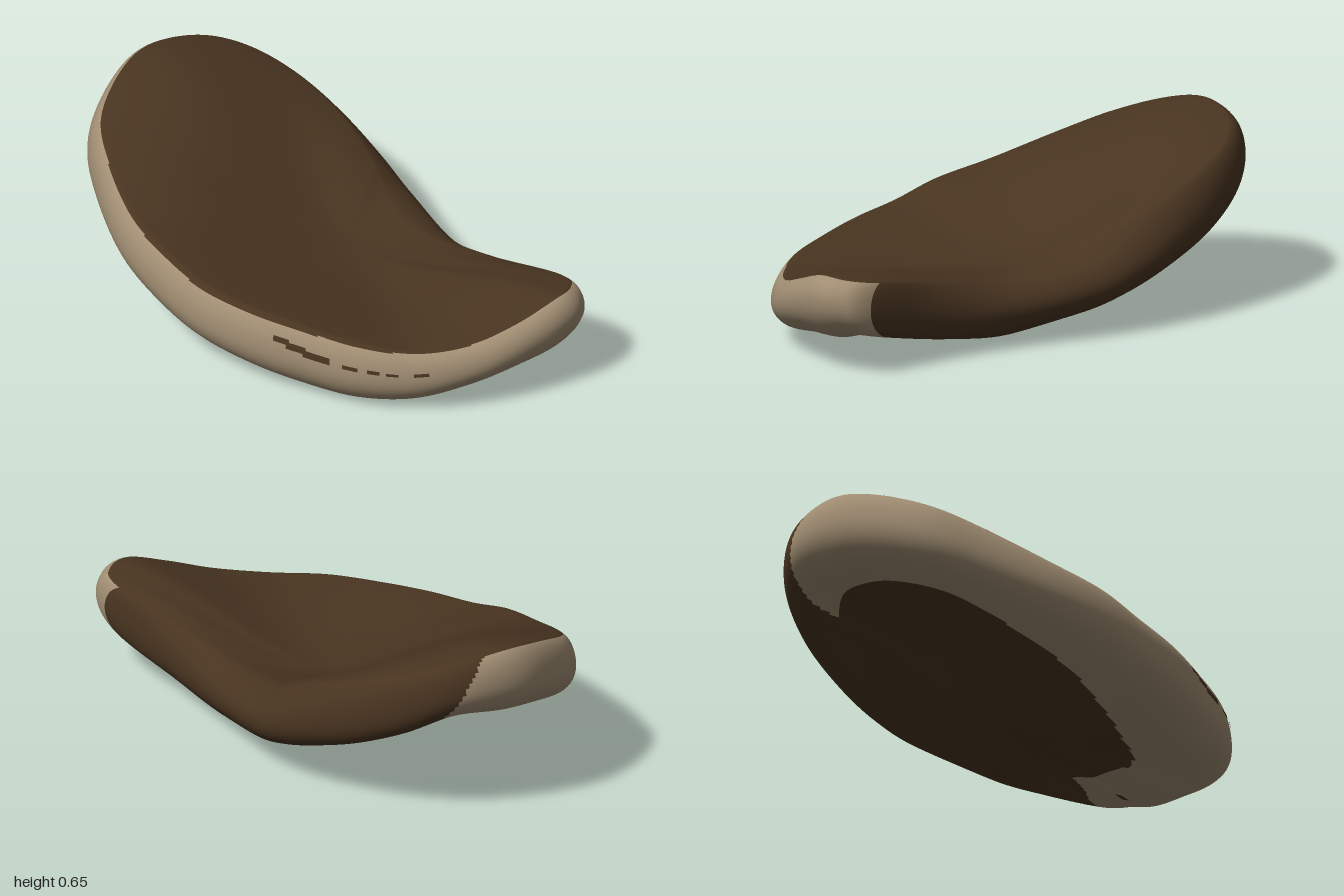
import * as THREE from 'three';

// Rim control points, counter-clockwise from above: x, z, crest height, underside height
const RIM = [
  [-0.94, -0.33, 0.63, 0.4], [-1, -0.13, 0.65, 0.385], [-0.98, 0.05, 0.62, 0.355], [-0.89, 0.25, 0.55, 0.295],
  [-0.73, 0.38, 0.48, 0.23], [-0.5, 0.5, 0.4, 0.155], [-0.27, 0.56, 0.355, 0.1], [-0.07, 0.57, 0.31, 0.055],
  [0.15, 0.545, 0.29, 0.028], [0.35, 0.49, 0.275, 0.01], [0.57, 0.41, 0.255, 0.005], [0.75, 0.28, 0.24, 0.02],
  [0.88, 0.12, 0.26, 0.06], [0.96, -0.04, 0.31, 0.09], [1, -0.2, 0.36, 0.105], [0.98, -0.31, 0.358, 0.13],
  [0.89, -0.375, 0.342, 0.12], [0.58, -0.39, 0.283, 0.06], [0.28, -0.44, 0.25, 0.028], [-0.05, -0.54, 0.285, 0.07],
  [-0.24, -0.575, 0.35, 0.115], [-0.43, -0.575, 0.43, 0.175], [-0.64, -0.54, 0.515, 0.25], [-0.82, -0.46, 0.585, 0.33],
];
const K = RIM.length;
const CENTRE_Z = -0.12;
const loop = (f) => new THREE.CatmullRomCurve3(RIM.map(f), true, 'catmullrom', 0.5);
const crest = loop(([x, z, top]) => new THREE.Vector3(x, top, z));
const under = loop(([x, z, , bottom]) => new THREE.Vector3(x, bottom, z));

// Heights along the middle of the dish
const floorTop = (x) => 0.235 - 0.13 * x + 0.25 * x * x;
const floorBottom = (x) => 0.08 - 0.13 * x + 0.2 * x * x;

// Smooth hump along the rim
const bump = (u, centre, width) => THREE.MathUtils.smoothstep(1 - Math.abs(u - centre) / width, 0, 1);

// u runs round the rim in control-point units; v: 0-1 dish, 1-2 rounded edge, 2-3 underside
function surface(u, v, lift = 0) {
  const t = (((u / K) % 1) + 1) % 1;
  const p = crest.getPoint(t);
  const bottom = under.getPoint(t).y;
  const dz = p.z - CENTRE_Z;
  const length = Math.hypot(p.x, dz);
  const rightEnd = bump(u, 14, 3.5);
  const back = bump(u, 19, 4);
  const topInset = (0.065 + 0.08 * back) / length;
  const bottomInset = (0.15 + 0.06 * rightEnd + 0.03 * back) / length;
  let r, y;
  if (v >= 1 && v <= 2) {
    const phi = (1.5 - v) * Math.PI;
    const middle = THREE.MathUtils.lerp(bottom, p.y, 0.54 + 0.14 * rightEnd);
    r = 1 - (phi > 0 ? topInset : bottomInset) * (1 - Math.cos(phi));
    y = middle + (phi > 0 ? p.y - middle : middle - bottom) * Math.sin(phi);
  } else if (v < 1) {
    r = v * (1 - topInset);
    y = THREE.MathUtils.lerp(floorTop(p.x * r), p.y, v * v * (2.2 - 1.2 * v));
  } else {
    const s = 3 - v;
    r = s * (1 - bottomInset);
    y = THREE.MathUtils.lerp(floorBottom(p.x * r), bottom, s * s * (3 - 2 * s));
  }
  r += lift / length;
  return [p.x * r, y, CENTRE_Z + dz * r];
}

// Grid over a range of the surface; pick(u, v) gives the material index of a cell
function patch(u0, u1, v0, v1, cols, rows, { closed = false, lift = 0, pick = () => 0 } = {}) {
  const positions = [];
  const faces = [[], []];
  const width = closed ? cols : cols + 1;
  for (let j = 0; j <= rows; j++) {
    for (let i = 0; i < width; i++) {
      positions.push(...surface(u0 + ((u1 - u0) * i) / cols, v0 + ((v1 - v0) * j) / rows, lift));
    }
  }
  for (let j = 0; j < rows; j++) {
    for (let i = 0; i < cols; i++) {
      const next = closed ? (i + 1) % cols : i + 1;
      const a = j * width + i, b = j * width + next;
      const c = a + width, d = b + width;
      const u = u0 + ((u1 - u0) * (i + 0.5)) / cols;
      const v = v0 + ((v1 - v0) * (j + 0.5)) / rows;
      faces[pick(u, v)].push(a, c, d, a, d, b);
    }
  }
  const geometry = new THREE.BufferGeometry();
  geometry.setAttribute('position', new THREE.Float32BufferAttribute(positions, 3));
  geometry.setIndex(faces.flat());
  geometry.addGroup(0, faces[0].length, 0);
  geometry.addGroup(faces[0].length, faces[1].length, 1);
  geometry.computeVertexNormals();
  return geometry;
}

// The pale band covers the front edge and both ends, and widens beneath the left end
function isPale(u, v) {
  const around = u > 20 ? u - K : u;
  const start = 0.5 - (v - 1.1) * 1.2;
  const end = 16.1 - Math.max(0, v - 2) * 1.5;
  const upper = 1.08 + 0.07 * bump(u, 8, 5);
  const lower = 2.1 + 0.25 * THREE.MathUtils.smoothstep(around, 3, 13);
  return around > start && around < end && v > upper && v < lower ? 1 : 0;
}

export function createModel() {
  const brown = new THREE.MeshStandardMaterial({ color: 0x483420 });
  brown.name = 'dark brown';
  const tan = new THREE.MeshStandardMaterial({ color: 0xa08d72 });
  tan.name = 'pale tan';

  const group = new THREE.Group();
  group.name = 'curvedShell';

  // Dished slab with a rounded rim
  const shell = new THREE.Mesh(patch(0, K, 0, 3, 360, 120, { closed: true, pick: isPale }), [brown, tan]);
  shell.name = 'shell';
  group.add(shell);

  // Short dark streaks on the front edge and one under the left end: u range, v range
  const streaks = [
    [8.55, 8.85, 1.29, 1.35], [8.8, 9.15, 1.32, 1.39], [9.1, 9.55, 1.35, 1.42], [9.75, 10.0, 1.38, 1.42],
    [10.15, 10.35, 1.38, 1.42], [10.45, 10.65, 1.39, 1.42], [10.9, 11.15, 1.38, 1.42], [14.3, 14.6, 2.03, 2.1],
  ];
  for (const [u0, u1, v0, v1] of streaks) {
    const streak = new THREE.Mesh(patch(u0, u1, v0, v1, 6, 4, { lift: 0.004 }), brown);
    streak.name = 'edgeStreak';
    group.add(streak);
  }
  return group;
}
